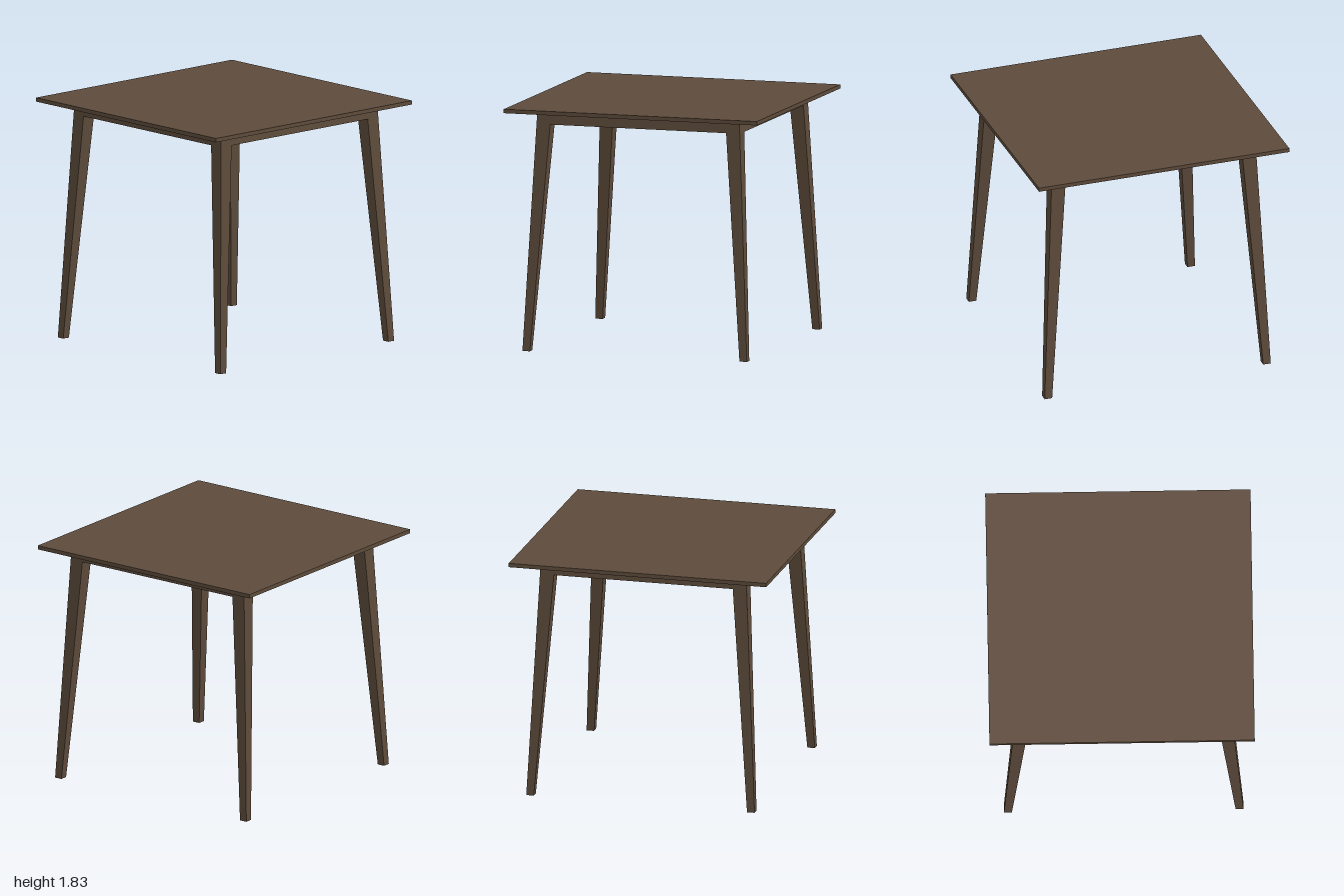
import * as THREE from 'three';

const wood = new THREE.MeshStandardMaterial({ color: 0x5d4b3b });
wood.name = 'dark wood';

// Box between two rectangles [x0, x1, z0, z1], one at y0 and one at y1
function taperedBox(name, y0, low, y1, high) {
  const geometry = new THREE.BoxGeometry(1, 1, 1);
  const p = geometry.attributes.position;
  for (let i = 0; i < p.count; i++) {
    const top = p.getY(i) > 0;
    const r = top ? high : low;
    p.setXYZ(i, p.getX(i) > 0 ? r[1] : r[0], top ? y1 : y0, p.getZ(i) > 0 ? r[3] : r[2]);
  }
  geometry.computeVertexNormals();
  const mesh = new THREE.Mesh(geometry, wood);
  mesh.name = name;
  return mesh;
}

// Rectangle moved to the corner given by the signs of x and z
function corner(sx, sz, xIn, xOut, zIn, zOut) {
  const span = (s, a, b) => (s > 0 ? [a, b] : [-b, -a]);
  return [...span(sx, xIn, xOut), ...span(sz, zIn, zOut)];
}

export function createModel() {
  const table = new THREE.Group();
  table.name = 'table';
  const topY = 1.8, apronY = 1.705, apronDepth = 0.04;

  // Thin square top
  const top = new THREE.Mesh(new THREE.BoxGeometry(1.99, 0.03, 1.98), wood);
  top.name = 'tableTop';
  top.position.set(0, topY + 0.015, -0.002);
  table.add(top);

  const base = new THREE.Group();
  base.name = 'base';
  base.position.set(0.007, 0, 0.012);
  table.add(base);

  // Four splayed legs, narrowing towards the feet
  for (const sx of [-1, 1]) for (const sz of [-1, 1]) {
    const name = (sz > 0 ? 'front' : 'back') + (sx > 0 ? 'Left' : 'Right') + 'Leg';
    base.add(taperedBox(name,
      0, corner(sx, sz, 0.824, 0.882, 0.835, 0.894),
      topY, corner(sx, sz, 0.684, 0.794, 0.694, 0.806)));
  }

  // Apron rails flush with the outer faces of the legs
  for (const s of [-1, 1]) {
    const sideways = (out) => (s > 0 ? [out - apronDepth, out] : [-out, apronDepth - out]);
    base.add(taperedBox(s > 0 ? 'frontApron' : 'backApron',
      apronY, [-0.692, 0.692, ...sideways(0.8106)],
      topY, [-0.685, 0.685, ...sideways(0.806)]));
    base.add(taperedBox(s > 0 ? 'leftApron' : 'rightApron',
      apronY, [...sideways(0.7986), -0.702, 0.702],
      topY, [...sideways(0.794), -0.695, 0.695]));
  }

  // The whole table stands very slightly turned
  table.rotation.y = 0.005;
  const model = new THREE.Group();
  model.name = 'squareTable';
  model.add(table);
  return model;
}
